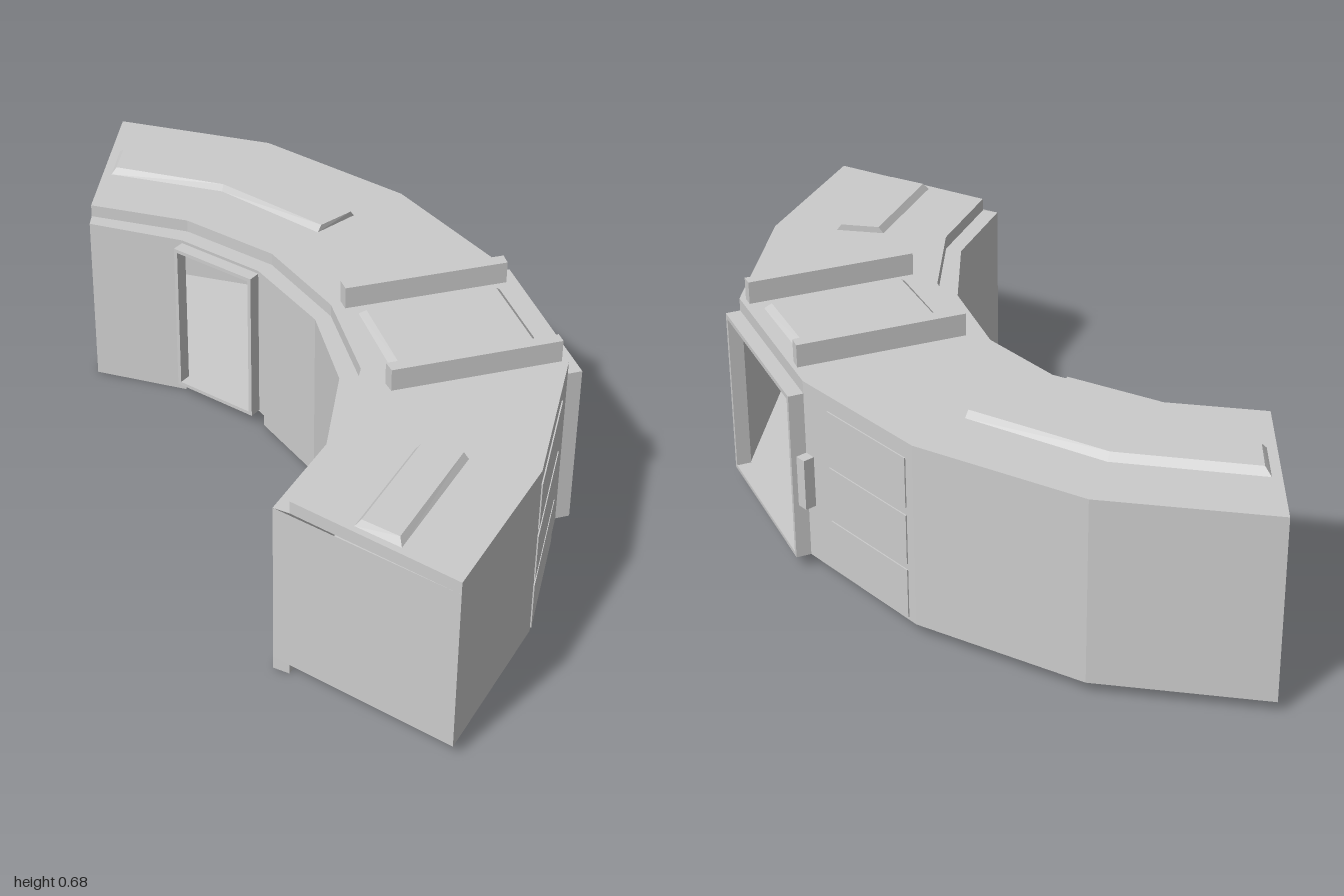
import * as THREE from 'three';

const MAT = new THREE.MeshStandardMaterial({ color: 0xcccccc, flatShading: true, side: THREE.DoubleSide });

// Plan outlines as [x, z]: outer wall, inner wall, and the line the roof step and plinth follow
const OUTER = [[-0.88, -1], [-0.37, -1], [0.13, -0.81], [0.505, -0.51], [0.82, -0.04], [0.85, 0.48], [0.75, 0.99]];
const INNER = [[-0.78, -0.415], [-0.47, -0.405], [-0.19, -0.305], [0.05, -0.10], [0.20, 0.17], [0.25, 0.48], [0.19, 0.79]];
const STEP = [[-0.79, -0.46], [-0.47, -0.46], [-0.16, -0.35], [0.09, -0.13], [0.26, 0.16], [0.30, 0.49], [0.24, 0.80]];
const FLOOR = 0.04, LEDGE = 0.57, ROOF = 0.61;

function makeMesh(name, pos) {
  const geo = new THREE.BufferGeometry();
  geo.setAttribute('position', new THREE.Float32BufferAttribute(pos, 3));
  geo.computeVertexNormals();
  const mesh = new THREE.Mesh(geo, MAT);
  mesh.name = name;
  return mesh;
}

// Band of quads between two matching plan lines
function band(pos, low, high, y0, y1, closed = false, skip = -1) {
  const n = low.length;
  for (let i = 0; i < (closed ? n : n - 1); i++) {
    if (i === skip) continue;
    const j = (i + 1) % n;
    const a = [low[i][0], y0, low[i][1]], b = [low[j][0], y0, low[j][1]];
    const c = [high[j][0], y1, high[j][1]], d = [high[i][0], y1, high[i][1]];
    pos.push(...a, ...b, ...c, ...a, ...c, ...d);
  }
}

// Flat horizontal polygon, optionally with holes
function slab(pos, outline, y, holes = [], up = true) {
  const v = l => l.map(([x, z]) => new THREE.Vector2(x, z));
  const contour = v(outline), cut = holes.map(v);
  if (THREE.ShapeUtils.isClockWise(contour)) contour.reverse();
  cut.forEach(h => { if (!THREE.ShapeUtils.isClockWise(h)) h.reverse(); });
  const all = [contour, ...cut].flat();
  for (const f of THREE.ShapeUtils.triangulateShape(contour, cut))
    for (const k of up ? [f[0], f[2], f[1]] : f) pos.push(all[k].x, y, all[k].y);
}

// Solid between a lower and an upper plan outline
function loft(name, low, high, y0, y1, bottom = true) {
  const area = THREE.ShapeUtils.area(low.map(([x, z]) => ({ x, y: z })));
  const [l, h] = area > 0 ? [[...low].reverse(), [...high].reverse()] : [low, high];
  const pos = [];
  band(pos, l, h, y0, y1, true);
  slab(pos, h, y1);
  if (bottom) slab(pos, l, y0, [], false);
  return makeMesh(name, pos);
}

// Point at distance t along a-b, moved out by d along the outward normal
function along(a, b, t, d, side) {
  const len = Math.hypot(b[0] - a[0], b[1] - a[1]);
  const ux = (b[0] - a[0]) / len, uz = (b[1] - a[1]) / len;
  return [a[0] + ux * t + uz * d * side, a[1] + uz * t - ux * d * side];
}

// Box standing on the wall line a-b, from t0 to t1 along it
function wallBox(name, a, b, t0, t1, y0, y1, depth, side) {
  const p = [along(a, b, t0, 0, side), along(a, b, t1, 0, side), along(a, b, t1, depth, side), along(a, b, t0, depth, side)];
  return loft(name, p, p, y0, y1);
}

// Four-sided projecting frame round an opening
function frame(name, a, b, y0, y1, depth, w, side) {
  const g = new THREE.Group();
  g.name = name;
  const len = Math.hypot(b[0] - a[0], b[1] - a[1]);
  g.add(
    wallBox('framePost', a, b, 0, w, y0, y1, depth, side),
    wallBox('framePost', a, b, len - w, len, y0, y1, depth, side),
    wallBox('frameLintel', a, b, w, len - w, y1 - w, y1, depth, side),
    wallBox('frameSill', a, b, w, len - w, y0, y0 + 0.012, depth, side));
  return g;
}

export function createModel() {
  const model = new THREE.Group();
  model.name = 'curvedBuilding';

  // Roof fittings
  const skyLow = [[0.55, -0.355], [0.73, -0.09], [0.36, 0.16], [0.18, -0.11]];
  const skyHigh = [[0.543, -0.332], [0.705, -0.094], [0.366, 0.133], [0.205, -0.105]];
  const rails = [
    [[0.54, -0.435], [0.56, -0.40], [0.135, -0.125], [0.11, -0.16]],
    [[0.78, -0.07], [0.80, -0.04], [0.37, 0.24], [0.345, 0.21]]];
  model.add(loft('skylight', skyLow, skyHigh, ROOF, 0.63, false));
  for (const r of rails) model.add(loft('roofRail', r, r, ROOF, 0.68, false));
  model.add(loft('longRoofPanel',
    [[-0.82, -0.81], [-0.39, -0.805], [0.02, -0.64], [-0.06, -0.51], [-0.42, -0.66], [-0.795, -0.66]],
    [[-0.80, -0.79], [-0.395, -0.785], [0.013, -0.627], [-0.053, -0.524], [-0.42, -0.672], [-0.782, -0.675]],
    ROOF, 0.63));
  model.add(loft('shortRoofPanel',
    [[0.50, 0.485], [0.65, 0.485], [0.57, 0.90], [0.43, 0.85]],
    [[0.515, 0.485], [0.635, 0.485], [0.56, 0.88], [0.447, 0.842]], ROOF, 0.63));

  // Hollow shell: floor, walls with two openings, stepped roof
  const floor = [], walls = [], roof = [];
  slab(floor, [...OUTER, ...[...INNER].reverse()], FLOOR, [], false);
  const outerRev = [...OUTER].reverse();
  band(walls, outerRev, outerRev, FLOOR, LEDGE, false, 2);
  band(walls, outerRev, outerRev, LEDGE, ROOF);
  band(walls, INNER, INNER, FLOOR, LEDGE, false, 1);
  for (const [i, flip] of [[0, false], [6, true]]) {
    const lower = [OUTER[i], INNER[i]], upper = [OUTER[i], STEP[i]];
    if (flip) { lower.reverse(); upper.reverse(); }
    band(walls, lower, lower, FLOOR, LEDGE);
    band(walls, upper, upper, LEDGE, ROOF);
  }
  band(roof, INNER, STEP, LEDGE, LEDGE);
  band(roof, STEP, STEP, LEDGE, ROOF);
  slab(roof, [...OUTER, ...[...STEP].reverse()], ROOF, [skyLow, ...rails]);
  model.add(makeMesh('floor', floor), makeMesh('walls', walls), makeMesh('roof', roof));

  // Plinth along the inner edge, interrupted at the doorway
  const plinths = [
    [...INNER.slice(0, 2), ...STEP.slice(0, 2).reverse()],
    [[-0.17, -0.29], ...INNER.slice(3), ...STEP.slice(3).reverse(), [-0.15, -0.335]]];
  for (const p of plinths) model.add(loft('plinth', p, p, 0, FLOOR));

  // Doorway on the inner side and large bay on the outer side
  model.add(frame('doorFrame', INNER[1], INNER[2], FLOOR + 0.005, 0.56, 0.04, 0.012, -1));
  model.add(frame('bayFrame', OUTER[3], OUTER[4], FLOOR, LEDGE, 0.045, 0.014, 1));
  model.add(wallBox('bayControlBox', OUTER[2], OUTER[3], 0.445, 0.48, 0.22, 0.38, 0.035, 1));

  // Thin cladding panels, three rows on the walls either side of the bay
  for (const y of [0.05, 0.225, 0.405]) {
    model.add(wallBox('claddingPanel', OUTER[2], OUTER[3], 0.03, 0.37, y, y + 0.155, 0.004, 1));
    model.add(wallBox('claddingPanel', OUTER[4], OUTER[5], 0.12, 0.515, y, y + 0.155, 0.004, 1));
  }
  return model;
}
